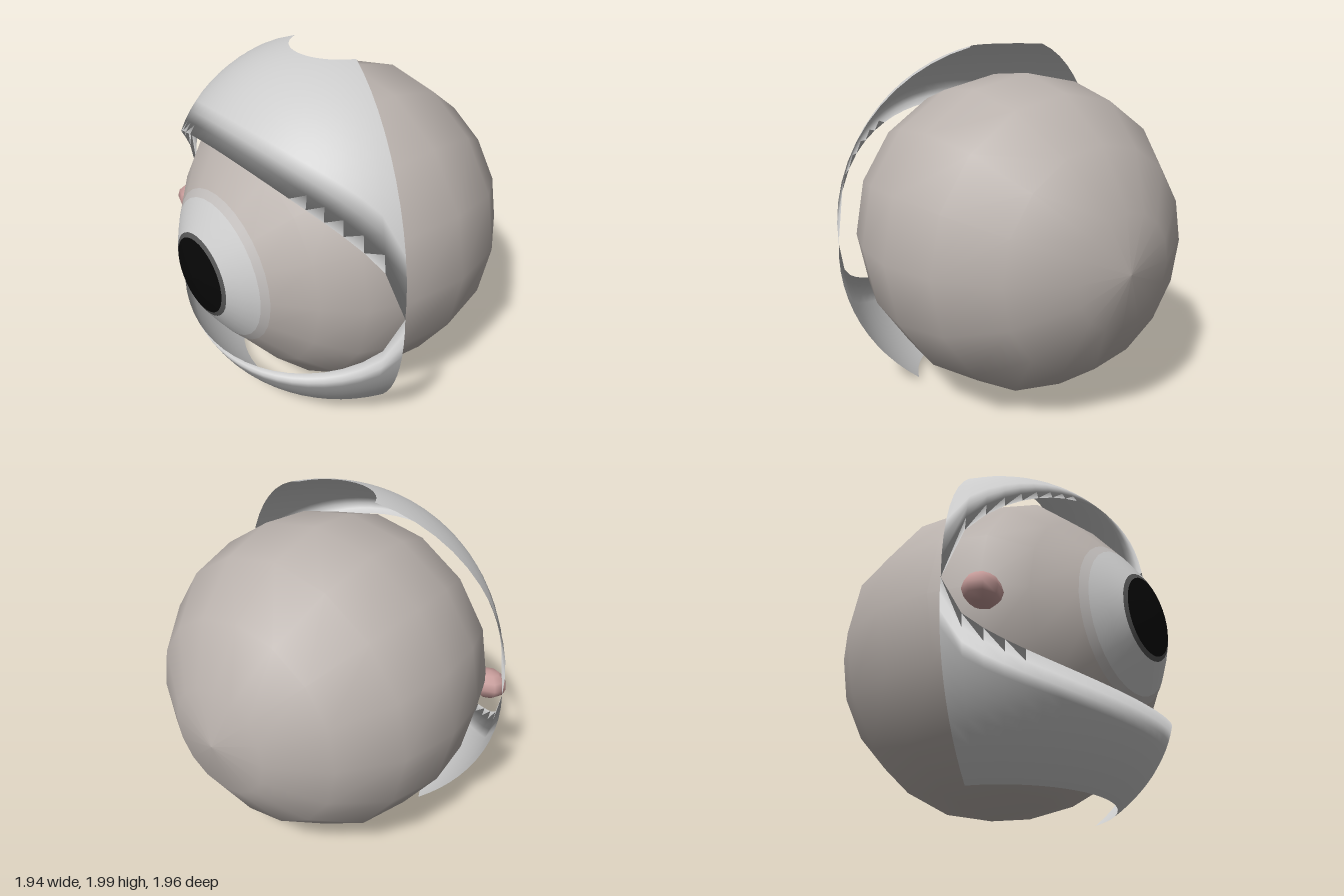
import * as THREE from 'three';

const MID_Y = 0.935;

function mat(color, side = THREE.FrontSide) {
  return new THREE.MeshStandardMaterial({ color, side });
}

// Surface of revolution about the z axis, from [radius, z] points, back to front
function turned(name, profile, color, segments) {
  const geo = new THREE.LatheGeometry(profile.map(([r, z]) => new THREE.Vector2(r, z)), segments);
  geo.rotateX(Math.PI / 2);
  const mesh = new THREE.Mesh(geo, mat(color));
  mesh.name = name;
  mesh.position.y = MID_Y;
  return mesh;
}

// Eyelid: a latitude/longitude patch of an ellipsoid. s is +1 for upper, -1 for lower;
// opening is the height of the elliptical front edge, reach the height of the flat cut.
function eyelid(name, s, opening, reach) {
  const A = 1.075, B = 1.1, SHRINK = 0.97, CENTRE_Z = -0.036;
  const COLS = 24, ROWS = 12, SPAN = THREE.MathUtils.degToRad(67.8);
  const pos = [], nor = [], idx = [];
  const end = Math.asin(reach / B);
  for (let i = 0; i <= ROWS; i++) {
    const v = i / ROWS;
    for (let j = 0; j <= COLS; j++) {
      const t = (j / COLS) * 2 - 1;
      const phi = t * SPAN;
      const start = Math.asin((opening * Math.sqrt(Math.max(0, 1 - t * t))) / (B * SHRINK));
      const e = start + (end - start) * v;
      // The lid draws in slightly towards its front edge
      const k = 1 - (1 - SHRINK) * Math.pow(1 - v, 3);
      const r = A * k * Math.cos(e);
      pos.push(r * Math.sin(phi), s * B * k * Math.sin(e), r * Math.cos(phi) + CENTRE_Z);
      // Shading rolls over the rim into the opening
      const n = new THREE.Vector3(
        Math.cos(e) * Math.sin(phi) / A, s * Math.sin(e) / B, Math.cos(e) * Math.cos(phi) / A).normalize();
      const along = new THREE.Vector3(
        -Math.sin(e) * Math.sin(phi), s * Math.cos(e), -Math.sin(e) * Math.cos(phi));
      const roll = Math.max(0, 1 - v * 4) * 1.9;
      n.multiplyScalar(Math.cos(roll)).addScaledVector(along, -Math.sin(roll)).normalize();
      nor.push(n.x, n.y, n.z);
      if (i < ROWS && j < COLS) {
        const a = i * (COLS + 1) + j, b = a + 1, d = a + COLS + 1, c = d + 1;
        if (s > 0) idx.push(a, b, c, a, c, d);
        else idx.push(a, c, b, a, d, c);
      }
    }
  }
  const geo = new THREE.BufferGeometry();
  geo.setAttribute('position', new THREE.Float32BufferAttribute(pos, 3));
  geo.setAttribute('normal', new THREE.Float32BufferAttribute(nor, 3));
  geo.setIndex(idx);
  const mesh = new THREE.Mesh(geo, mat(0xcccccc, THREE.DoubleSide));
  mesh.name = name;
  mesh.position.y = MID_Y;
  return mesh;
}

export function createModel() {
  const model = new THREE.Group();
  model.name = 'eye';

  // Eyeball with bulging cornea, coloured in rings
  const ball = new THREE.Group();
  ball.name = 'eyeball';
  ball.add(
    turned('sclera', [
      [0, -0.975], [0.31, -0.925], [0.62, -0.735], [0.845, -0.44], [0.925, -0.11],
      [0.895, 0.2], [0.81, 0.46], [0.64, 0.635], [0.44, 0.79],
    ], 0xbab2ad, 16),
    turned('irisBorder', [[0.44, 0.79], [0.4, 0.822]], 0xc0bcba, 32),
    turned('iris', [[0.4, 0.822], [0.32, 0.877], [0.24, 0.925]], 0xcccccc, 32),
    turned('pupilBorder', [[0.24, 0.925], [0.215, 0.937]], 0x555555, 32),
    turned('pupil', [[0.215, 0.937], [0.11, 0.969], [0, 0.98]], 0x070707, 32),
  );
  model.add(ball);

  // Eyelids
  model.add(eyelid('upperEyelid', 1, 0.685, 1.065));
  model.add(eyelid('lowerEyelid', -1, 0.485, 0.895));

  // Pink flesh at the inner corner
  const corner = new THREE.Mesh(new THREE.SphereGeometry(1, 8, 6), mat(0xc49a98));
  corner.name = 'tearDuct';
  corner.scale.set(0.112, 0.088, 0.095);
  corner.position.set(-0.815, 0.885, 0.49);
  model.add(corner);

  return model;
}
